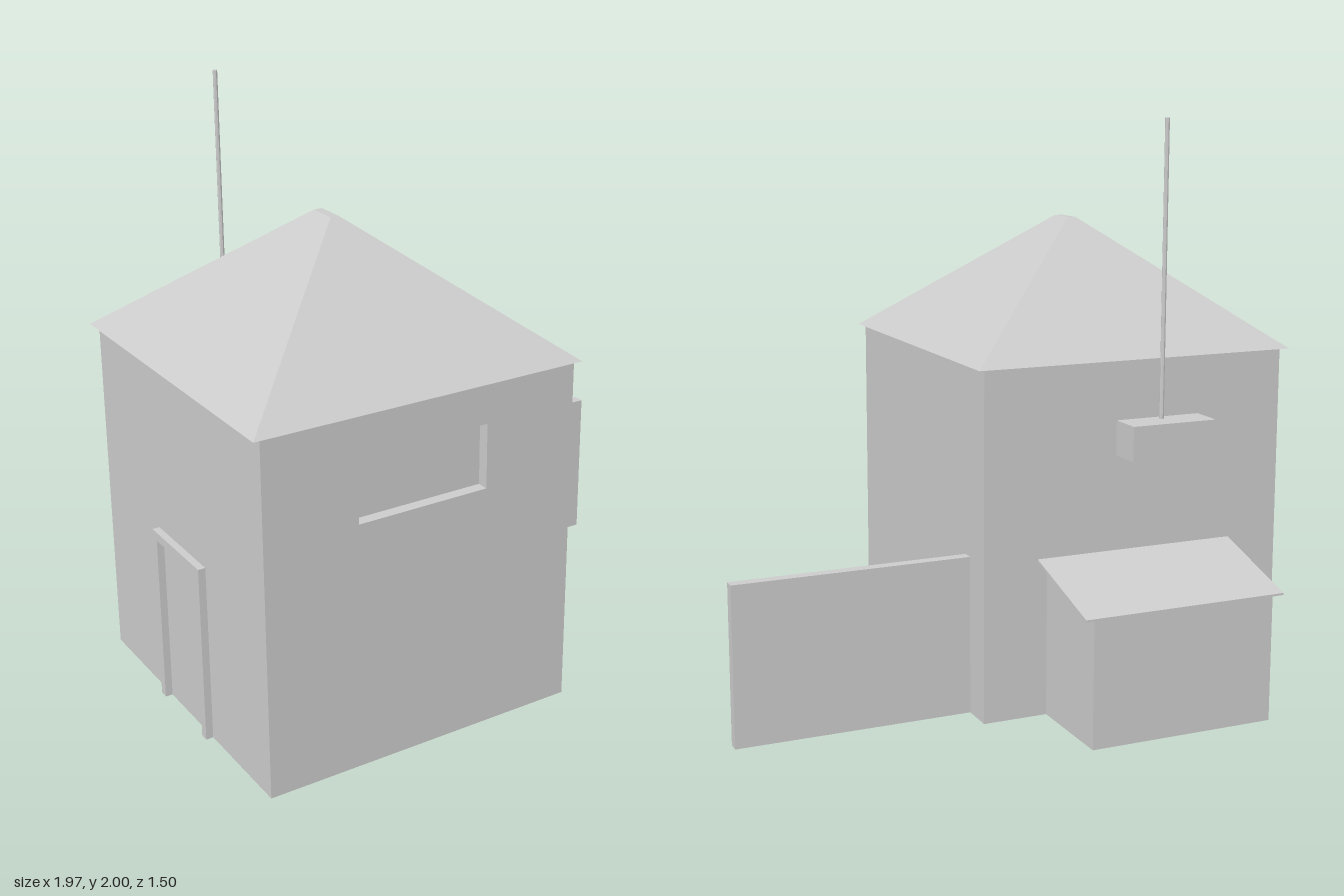
import * as THREE from 'three';

const solid = new THREE.MeshStandardMaterial({ color: 0xcccccc, flatShading: true });
const thin = new THREE.MeshStandardMaterial({ color: 0xcccccc, flatShading: true, side: THREE.DoubleSide });

function add(parent, name, geometry, material = solid) {
  const mesh = new THREE.Mesh(geometry, material);
  mesh.name = name;
  parent.add(mesh);
  return mesh;
}

// Box given by its minimum and maximum on each axis
function box(parent, name, [x0, x1], [y0, y1], [z0, z1]) {
  const g = new THREE.BoxGeometry(x1 - x0, y1 - y0, z1 - z0);
  g.translate((x0 + x1) / 2, (y0 + y1) / 2, (z0 + z1) / 2);
  return add(parent, name, g);
}

// Horizontal rectangle of corners, starting front right; front and back heights may differ
const ring = (x0, x1, z0, z1, yFront, yBack = yFront) =>
  [[x0, yFront, z1], [x1, yFront, z1], [x1, yBack, z0], [x0, yBack, z0]];

// Sides between two four-cornered rings
const sides = (a, b) => a.map((p, i) => [p, a[(i + 1) % 4], b[(i + 1) % 4], b[i]]);

function quads(list) {
  const g = new THREE.BufferGeometry();
  const points = list.flatMap(([a, b, c, d]) => [a, b, c, a, c, d]).flat();
  g.setAttribute('position', new THREE.Float32BufferAttribute(points, 3));
  g.computeVertexNormals();
  return g;
}

export function createModel() {
  const model = new THREE.Group();
  model.name = 'house';
  const X0 = -0.96, X1 = 0.16, Z0 = -0.39, Z1 = 0.74, H = 1.205;

  // House walls, open underneath; the front one has a window hole
  const walls = sides(ring(X0, X1, Z0, Z1, 0), ring(X0, X1, Z0, Z1, H));
  add(model, 'sideAndBackWalls', quads(walls.slice(1)), thin);
  const rect = (x0, x1, y0, y1) => [[x0, y0], [x1, y0], [x1, y1], [x0, y1]];
  const toPoints = (r) => r.map(([x, y]) => new THREE.Vector2(x, y));
  const windowRect = rect(-0.635, -0.17, 0.85, 1.07);
  const front = new THREE.Shape(toPoints(rect(X0, X1, 0, H)));
  front.holes.push(new THREE.Path(toPoints(windowRect)));
  add(model, 'frontWall', new THREE.ShapeGeometry(front).translate(0, 0, Z1), thin);

  // Window recess with its back panel
  const outer = windowRect.map(([x, y]) => [x, y, Z1]);
  const inner = windowRect.map(([x, y]) => [x, y, Z1 - 0.04]);
  add(model, 'windowRecess', quads([...sides(outer, inner), inner]), thin);

  // Hipped roof with a short flat ridge
  const eaves = ring(-0.985, 0.185, -0.41, 0.75, H);
  const ridge = ring(-0.415, -0.385, 0.115, 0.22, 1.64);
  add(model, 'roof', quads([...sides(eaves, ridge), ridge, [...eaves].reverse()]));

  // Door frame on the -x wall
  const door = new THREE.Group();
  door.name = 'doorFrame';
  model.add(door);
  const depth = [-0.985, -0.935];
  box(door, 'doorJambFront', depth, [0, 0.62], [0.315, 0.345]);
  box(door, 'doorJambBack', depth, [0, 0.62], [0.01, 0.04]);
  box(door, 'doorLintel', depth, [0.59, 0.62], [0.04, 0.315]);

  // Yard wall
  box(model, 'yardWall', [X1, 0.985], [0, 0.55], [-0.272, -0.232]);

  // Lean-to shed at the back, open underneath
  const shed = new THREE.Group();
  shed.name = 'shed';
  model.add(shed);
  const shedWalls = sides(ring(-0.735, -0.07, -0.738, Z0, 0), ring(-0.735, -0.07, -0.738, Z0, 0.543, 0.438));
  add(shed, 'shedWalls', quads(shedWalls.slice(1)), thin);
  const under = ring(-0.77, -0.035, -0.75, Z0, 0.543, 0.438);
  const top = ring(-0.77, -0.035, -0.75, Z0, 0.55, 0.445);
  add(shed, 'shedRoof', quads([...sides(under, top), top, [...under].reverse()]));

  // Mast standing on its wall box
  box(model, 'mastBox', [-0.637, -0.325], [0.88, 1.0], [-0.51, Z0]);
  add(model, 'mast', new THREE.CylinderGeometry(0.008, 0.008, 1.0, 8)).position.set(-0.478, 1.5, -0.422);

  return model;
}
